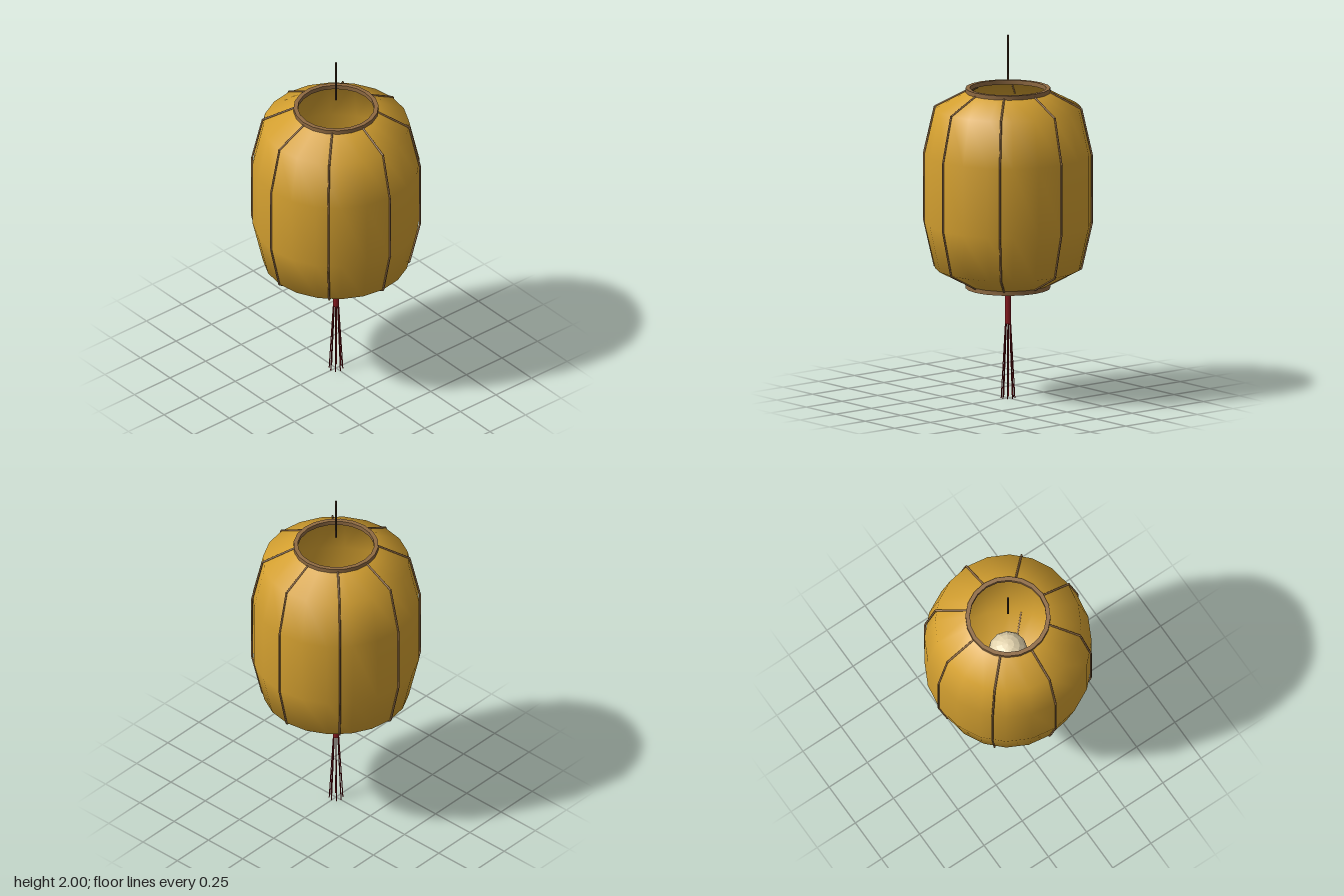
import * as THREE from 'three';
import { toCreasedNormals } from 'three/addons/utils/BufferGeometryUtils.js';

const paper = new THREE.MeshStandardMaterial({ color: 0xd4a030, side: THREE.DoubleSide });
const wood = new THREE.MeshStandardMaterial({ color: 0x8f6a42 });
const red = new THREE.MeshStandardMaterial({ color: 0x8b1a20 });
const cream = new THREE.MeshStandardMaterial({ color: 0xe6d6b0, flatShading: true });
const cordBrown = new THREE.MeshStandardMaterial({ color: 0x4a3420 });
paper.name = 'goldPaper';
wood.name = 'brownWood';
red.name = 'redThread';
cream.name = 'creamBulb';
cordBrown.name = 'darkCord';

// Barrel outline as [radius, height]
const profile = [
  [0.222, 0.628], [0.395, 0.72], [0.452, 0.97],
  [0.452, 1.35], [0.395, 1.6], [0.222, 1.69],
];

function mesh(name, geometry, material, parent) {
  const m = new THREE.Mesh(geometry, material);
  m.name = name;
  parent.add(m);
  return m;
}

// Straight round rod between two points
function rod(name, a, b, radius, sides, material, parent) {
  const dir = b.clone().sub(a);
  const m = mesh(name, new THREE.CylinderGeometry(radius, radius, dir.length(), sides), material, parent);
  m.position.copy(a).add(b).multiplyScalar(0.5);
  m.quaternion.setFromUnitVectors(new THREE.Vector3(0, 1, 0), dir.normalize());
  return m;
}

export function createModel() {
  const lantern = new THREE.Group();
  lantern.name = 'lantern';

  // Paper shade, open at both ends
  mesh('shade', new THREE.LatheGeometry(profile.map(([r, y]) => new THREE.Vector2(r, y)), 20), paper, lantern);

  // Square-section rims around the openings
  const section = [[0.207, -0.012], [0.23, -0.012], [0.23, 0.012], [0.207, 0.012], [0.207, -0.012]]
    .map(([r, y]) => new THREE.Vector2(r, y));
  const rimGeometry = toCreasedNormals(new THREE.LatheGeometry(section, 20), 0.6);
  mesh('bottomRim', rimGeometry, wood, lantern).position.y = 0.62;
  mesh('topRim', rimGeometry, wood, lantern).position.y = 1.697;

  // Eight ribs following the outline
  for (let i = 0; i < 8; i++) {
    const rib = new THREE.Group();
    rib.name = 'rib' + (i + 1);
    rib.rotation.y = (i * Math.PI) / 4;
    const points = profile.map(([r, y]) => new THREE.Vector3(r + 0.003, y, 0));
    for (let j = 0; j < points.length - 1; j++) {
      rod('ribSegment', points[j], points[j + 1], 0.0055, 6, wood, rib);
    }
    lantern.add(rib);
  }

  // Bulb inside the shade
  mesh('bulb', new THREE.SphereGeometry(0.108, 12, 10), cream, lantern).position.y = 1.16;

  // Hanging cord
  rod('hangingCord', new THREE.Vector3(0, 1.755, 0), new THREE.Vector3(0, 2, 0), 0.005, 6, cordBrown, lantern);

  // Tassel: thick head with eight spreading strands
  const tassel = new THREE.Group();
  tassel.name = 'tassel';
  rod('tasselHead', new THREE.Vector3(0, 0.41, 0), new THREE.Vector3(0, 0.6, 0), 0.017, 8, red, tassel);
  for (let i = 0; i < 8; i++) {
    const a = (i * Math.PI) / 4;
    const at = (r, y) => new THREE.Vector3(Math.cos(a) * r, y, Math.sin(a) * r);
    rod('strand', at(0.037, 0), at(0.014, 0.415), 0.003, 5, red, tassel);
  }
  lantern.add(tassel);

  return lantern;
}
